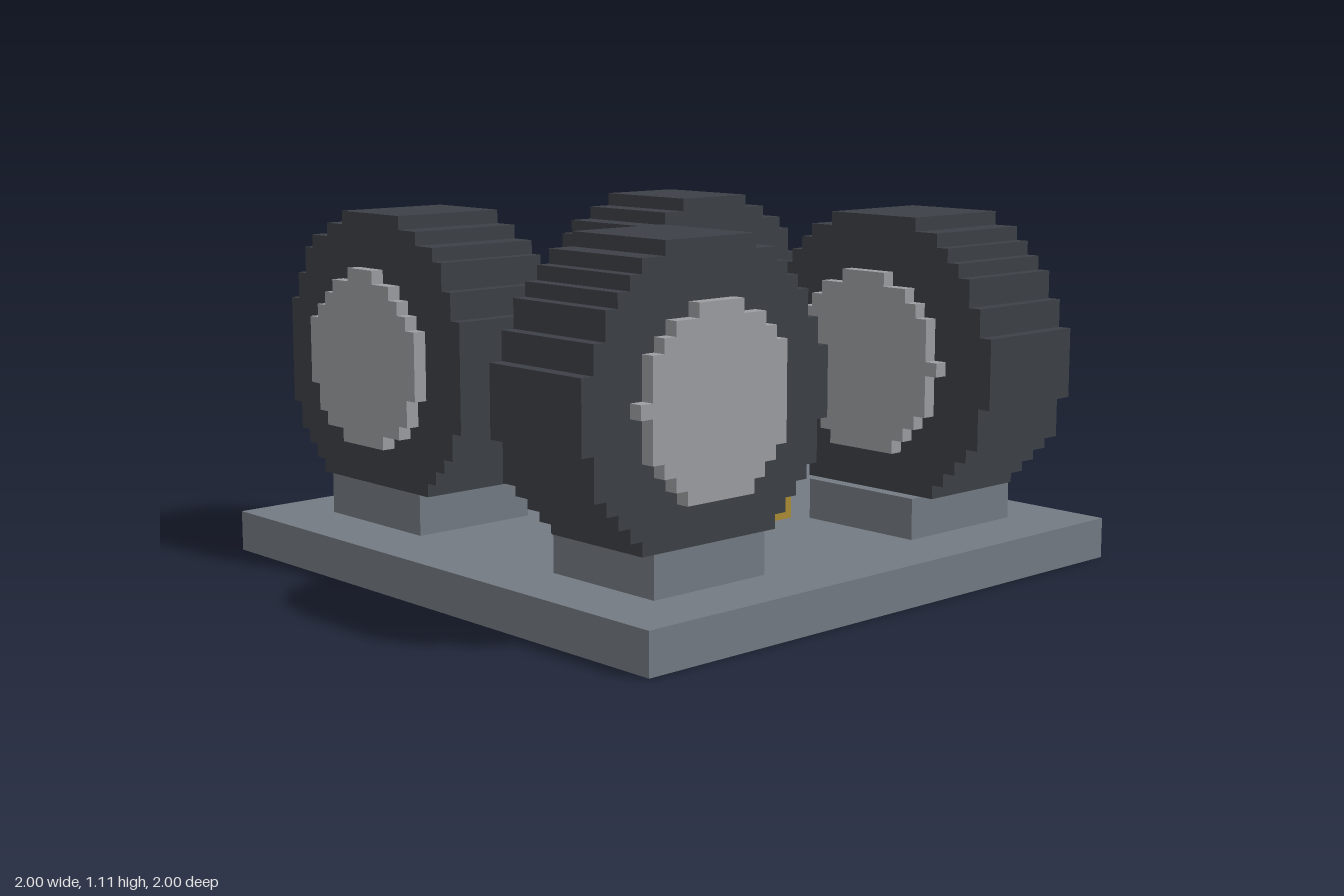
import * as THREE from 'three';

const V = 2 / 47; // size of one voxel cell

const flat = (name, color) => {
  const m = new THREE.MeshStandardMaterial({ color });
  m.name = name;
  return m;
};

// Stepped disc outline: the cells of a grid whose centres fall inside a circle
function steppedDisc(cu, cy, radius, minRow, sign) {
  const left = [], right = [];
  for (let row = minRow; row < 30; row++) {
    const dy = row + 0.5 - cy;
    const cells = [];
    for (let u = 0; u < 47; u++) {
      if ((u + 0.5 - cu) ** 2 + dy * dy <= radius * radius) cells.push(u);
    }
    if (!cells.length) continue;
    const a = cells[0] * sign, b = (cells[cells.length - 1] + 1) * sign;
    for (const [side, u] of [[left, a], [right, b]]) {
      const last = side[side.length - 1];
      if (last && last.x === u) last.y = row + 1; // extend a straight run
      else side.push(new THREE.Vector2(u, row), new THREE.Vector2(u, row + 1));
    }
  }
  return new THREE.Shape([...right, ...left.reverse()]);
}

export function createModel() {
  const model = new THREE.Group();
  model.name = 'wheelStand';
  const grey = flat('slateGrey', 0x737a82);
  const dark = flat('tyreDark', 0x3c4046);
  const silver = flat('hubSilver', 0x9b9da1);
  const gold = flat('blockGold', 0xab8b34);

  // Box between two grid corners
  const box = (name, mat, x0, y0, z0, x1, y1, z1) => {
    const g = new THREE.BoxGeometry(x1 - x0, y1 - y0, z1 - z0);
    g.translate((x0 + x1) / 2, (y0 + y1) / 2, (z0 + z1) / 2);
    const mesh = new THREE.Mesh(g, mat);
    mesh.name = name;
    model.add(mesh);
  };

  // Stepped disc facing +z, or +x when turned
  const disc = (name, mat, turned, centre, radius, minRow, start, depth) => {
    const shape = steppedDisc(centre, 15.3, radius, minRow, turned ? -1 : 1);
    const g = new THREE.ExtrudeGeometry(shape, { depth, bevelEnabled: false });
    g.translate(0, 0, start);
    if (turned) g.rotateY(Math.PI / 2);
    const mesh = new THREE.Mesh(g, mat);
    mesh.name = name;
    model.add(mesh);
  };

  // Base plate and centre block
  box('basePlate', grey, 0, 0, 0, 46, 3, 46);
  box('centreBlock', gold, 17, 3, 17, 30, 14, 30);

  // Pedestals in the four corners
  for (const [x0, x1] of [[5, 16], [31, 41]]) {
    for (const [z0, z1] of [[5, 16], [31, 41]]) box('pedestal', grey, x0, 3, z0, x1, 6, z1);
  }

  // Wheels in a pinwheel: turned, centre across, start along the axle
  const wheels = [
    ['frontRight', false, 10.5, 32],
    ['frontLeft', true, 36.02, 32],
    ['backRight', true, 10.5, 6],
    ['backLeft', false, 36.02, 6],
  ];
  for (const [name, turned, centre, start] of wheels) {
    disc(name + 'Tyre', dark, turned, centre, 10.8, 6, start, 9);
    disc(name + 'Hub', silver, turned, centre, 6.5, 6, start + 9, 1);
  }

  // Grid units to model units
  model.scale.setScalar(V);
  model.position.set(-1, 0, -1);
  const root = new THREE.Group();
  root.name = 'model';
  root.add(model);
  return root;
}
